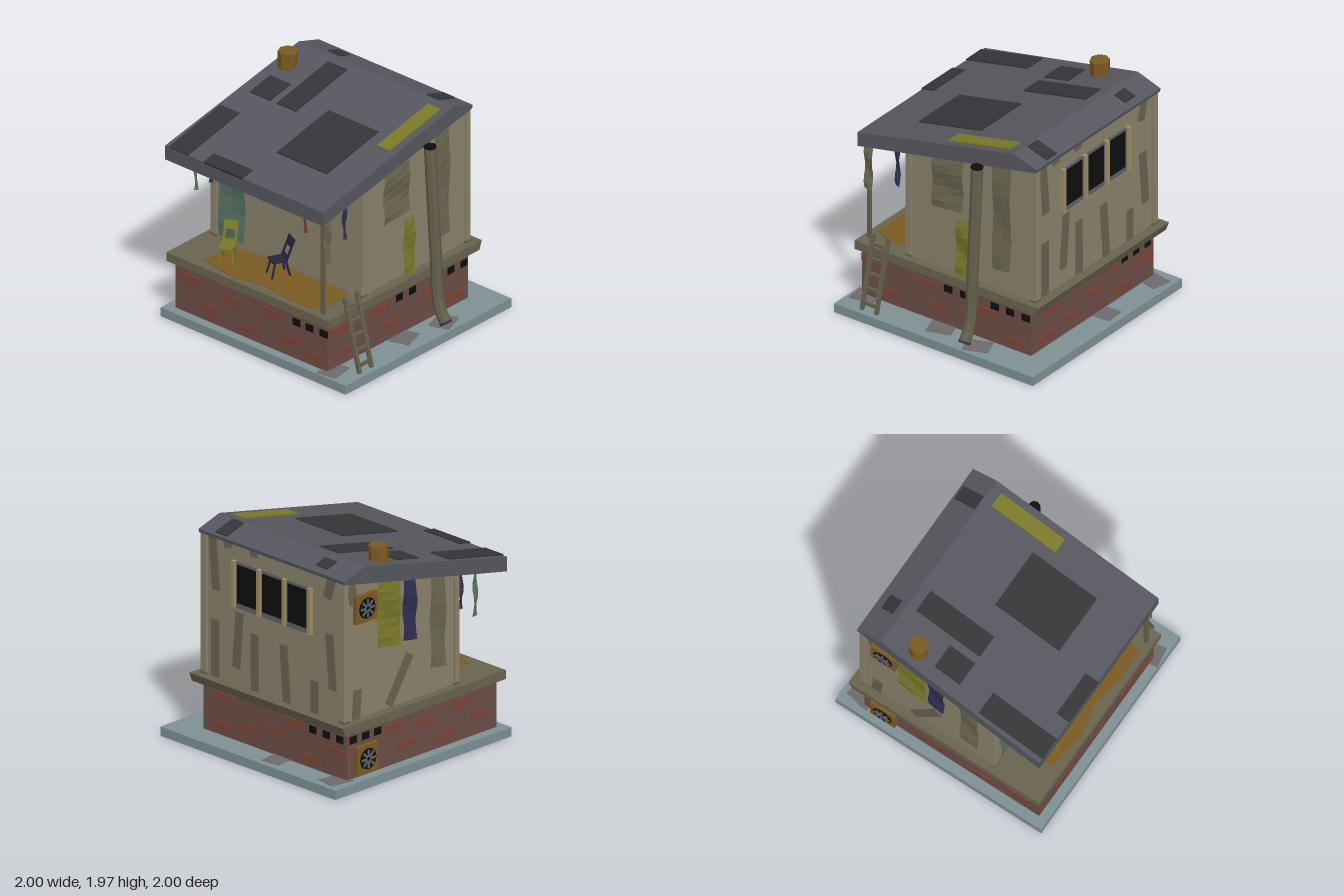
import * as THREE from 'three';

const C = {
  roof: 0x56575e, patch: 0x343538, wall: 0x89816a, post: 0x645f4c, deck: 0x69644e, brick: 0x6c4d46,
  redBrick: 0x7c4436, slab: 0x7d9095, black: 0x0e0e0e, plank: 0x6b6050, cloth: 0x6a664f, ochre: 0x7a5a24,
  yellow: 0x7a782a, blue: 0x2f2f52, green: 0x587062, teal: 0x2a8272, red: 0x6b3a30, trim: 0x9c8d63,
  frame: 0x5f6068, mud: 0x6b6a6c, chairBlue: 0x25253c,
};
const mats = {};
const mat = (c) => (mats[c] ??= new THREE.MeshStandardMaterial({ color: C[c], flatShading: true, side: THREE.DoubleSide }));

function add(parent, name, geo, color, x = 0, y = 0, z = 0) {
  const m = new THREE.Mesh(geo, mat(color));
  m.name = name;
  m.position.set(x, y, z);
  parent.add(m);
  return m;
}
const box = (p, name, color, x0, x1, y0, y1, z0, z1) =>
  add(p, name, new THREE.BoxGeometry(x1 - x0, y1 - y0, z1 - z0), color, (x0 + x1) / 2, (y0 + y1) / 2, (z0 + z1) / 2);

// Prism with an x-y outline running from z0 to z1
function prism(p, name, color, pts, z0, z1) {
  const shape = new THREE.Shape(pts.map(([x, y]) => new THREE.Vector2(x, y)));
  return add(p, name, new THREE.ExtrudeGeometry(shape, { depth: z1 - z0, bevelEnabled: false }).translate(0, 0, z0), color);
}

// Thin bar between two 3D points
function bar(p, name, color, a, b, w, d = w) {
  const A = new THREE.Vector3(...a), B = new THREE.Vector3(...b);
  const m = add(p, name, new THREE.BoxGeometry(w, A.distanceTo(B), d), color);
  m.position.copy(A).add(B).multiplyScalar(0.5);
  m.quaternion.setFromUnitVectors(new THREE.Vector3(0, 1, 0), B.sub(A).normalize());
  return m;
}

// Sheet hanging against a wall, with a slanted lower edge and a slight billow
function cloth(p, name, color, u0, u1, t0, t1, b0, b1, z = 0.02) {
  const g = new THREE.PlaneGeometry(1, 1, 2, 7), a = g.attributes.position;
  for (let i = 0; i < a.count; i++) {
    const s = a.getX(i) + 0.5, v = a.getY(i) + 0.5;
    const top = t0 + (t1 - t0) * s, bot = b0 + (b1 - b0) * s;
    a.setXYZ(i, u0 + (u1 - u0) * s, bot + (top - bot) * v, z + 0.012 * Math.sin(v * 9 + s * 2));
  }
  g.computeVertexNormals();
  return add(p, name, g, color);
}

// Group whose local z points out of one side of the building
function side(root, name, turn, dist) {
  const g = new THREE.Group();
  g.name = name;
  g.rotation.y = turn;
  g.position.set(Math.sin(turn) * dist, 0, Math.cos(turn) * dist);
  root.add(g);
  return g;
}

function addFan(p, x, y) {
  const g = new THREE.Group();
  g.name = 'wallFan';
  g.position.set(x, y, 0);
  p.add(g);
  box(g, 'fanCase', 'ochre', -0.12, 0.12, -0.12, 0.12, -0.01, 0.04);
  add(g, 'fanOpening', new THREE.CylinderGeometry(0.09, 0.09, 0.01, 12).rotateX(Math.PI / 2), 'black', 0, 0, 0.042);
  for (let i = 0; i < 8; i++) {
    const b = add(g, 'fanBlade', new THREE.BoxGeometry(0.02, 0.06, 0.006).translate(0, 0.048, 0), 'frame', 0, 0, 0.05);
    b.rotation.z = (i * Math.PI) / 4;
  }
}

// Chair facing local +z, feet on y = 0
function addChair(root, color, x, z, turn) {
  const g = new THREE.Group();
  g.name = 'chair';
  g.position.set(x, 0.578, z);
  g.rotation.y = turn;
  root.add(g);
  box(g, 'chairSeat', color, -0.06, 0.06, 0.135, 0.15, -0.06, 0.07);
  for (const s of [-1, 1]) {
    for (const f of [-1, 1]) bar(g, 'chairLeg', color, [s * 0.045, 0.14, f * 0.045], [s * 0.06, 0, f * 0.08], 0.014);
    bar(g, 'chairBackSide', color, [s * 0.05, 0.14, -0.05], [s * 0.05, 0.32, -0.12], 0.02, 0.012);
  }
  bar(g, 'chairBackTop', color, [0, 0.25, -0.093], [0, 0.32, -0.12], 0.1, 0.012);
  bar(g, 'chairBackLow', color, [0, 0.15, -0.054], [0, 0.18, -0.066], 0.1, 0.012);
}

export function createModel() {
  const root = new THREE.Group();
  root.name = 'shack';
  const H = Math.PI / 2;
  const under = (x) => 1.43 + 0.2 * (x + 0.97);

  // Ground, foundation and deck
  box(root, 'groundSlab', 'slab', -1, 1, 0, 0.08, -1, 1);
  box(root, 'foundation', 'brick', -0.92, 0.78, 0.08, 0.5, -0.91, 0.73);
  prism(root, 'deck', 'deck', [[-0.96, 0.5], [0.86, 0.5], [0.89, 0.578], [-0.96, 0.578]], -0.975, 0.78);
  for (const [x, z, r] of [[-0.07, 0.8, 0.3], [0.34, 0.86, 0.35], [-0.87, 0.75, 0.15], [0.83, -0.84, -0.2], [0.83, -0.18, 0.1]])
    add(root, 'mudPatch', new THREE.BoxGeometry(0.22, 0.006, 0.18), 'mud', x, 0.081, z).rotation.y = r;

  // House walls and corner posts
  prism(root, 'walls', 'wall', [[-0.47, 0.57], [0.8, 0.57], [0.8, under(0.8) + 0.02], [-0.47, under(-0.47) + 0.03]], -0.9, 0.7);
  for (const [x0, x1] of [[-0.49, -0.44], [0.77, 0.82]])
    for (const [z0, z1] of [[-0.92, -0.86], [0.66, 0.72]]) {
      box(root, 'cornerPost', 'wall', x0, x1, 0.575, under(x0) + 0.02, z0, z1);
      box(root, 'postFoot', 'post', x0 - 0.005, x1 + 0.005, 0.575, 0.595, z0 - 0.005, z1 + 0.005);
    }

  // Roof with a skewed rear edge
  const roof = prism(root, 'roof', 'roof', [[-0.97, 1.43], [0.83, 1.79], [0.835, 1.82], [0.6, 1.893], [-0.97, 1.555]], -0.93, 0.73);
  const rp = roof.geometry.attributes.position;
  for (let i = 0; i < rp.count; i++) if (rp.getZ(i) < 0) rp.setZ(i, -0.935 - 0.025 * (0.83 - rp.getX(i)));
  const ceiling = box(root, 'porchCeiling', 'teal', -0.24, 0.24, -0.004, 0.004, -0.9, 0.7);
  ceiling.position.set(-0.72, under(-0.72) - 0.005, -0.1);
  ceiling.rotation.z = Math.atan(0.2);

  // Roof patches: x0, x1, z0, z1
  for (const [x0, x1, z0, z1, c = 'patch'] of [
    [-0.97, -0.35, -0.935, -0.73], [-0.1, 0.145, -0.84, -0.62], [-0.1, 0.52, -0.55, -0.345], [0.66, 0.77, -0.68, -0.545],
    [-0.975, -0.85, -0.555, -0.14], [-0.58, 0.045, -0.12, 0.42], [0.615, 0.81, 0.43, 0.56], [-0.1, 0.52, 0.53, 0.665, 'yellow']]) {
    const x = (x0 + x1) / 2, slope = x < 0.6 ? 0.215 : -0.31, t = Math.atan(slope);
    const m = add(root, 'roofPatch', new THREE.BoxGeometry((x1 - x0) / Math.cos(t), 0.02, z1 - z0), c, x, 1.893 + slope * (x - 0.6), (z0 + z1) / 2);
    m.rotation.z = t;
  }
  const chimney = add(root, 'chimney', new THREE.CylinderGeometry(0.083, 0.08, 0.2, 8), 'ochre', 0.32, 1.87, -0.81);
  chimney.rotation.x = 0.04;

  // Loose bricks and vents on each foundation side: [u, v] centres
  const bases = [
    ['foundationFront', 0, 0.73, [[-0.78, 0.415], [-0.27, 0.393], [-0.15, 0.215], [0.335, 0.34], [0.615, 0.155], [-0.65, 0.187]],
      [-0.05, 0.107, 0.415, 0.57, 0.727]],
    ['foundationRight', H, 0.78, [[-0.48, 0.415], [-0.52, 0.16], [-0.18, 0.213], [0.1, 0.293], [0.328, 0.415], [0.8, 0.293], [0.51, 0.155]],
      [0.523, 0.678, 0.833]],
    ['foundationBack', Math.PI, 0.91, [[-0.25, 0.4], [-0.1, 0.22], [0.12, 0.36], [0.35, 0.17], [0.5, 0.4], [0.72, 0.25]],
      [-0.71, -0.57, -0.43]],
    ['foundationLeft', -H, 0.92, [[-0.75, 0.4], [-0.55, 0.2], [-0.3, 0.36], [-0.08, 0.17], [0.15, 0.4], [0.35, 0.23], [0.6, 0.16]],
      [0.4, 0.54, 0.69]],
  ];
  for (const [name, turn, dist, bricks, vents] of bases) {
    const g = side(root, name, turn, dist);
    for (const [u, v] of bricks) box(g, 'looseBrick', 'redBrick', u - 0.098, u + 0.098, v - 0.034, v + 0.034, -0.01, 0.008);
    for (const u of vents) box(g, 'vent', 'black', u - 0.04, u + 0.04, 0.385, 0.447, -0.01, 0.006);
    if (turn === Math.PI) addFan(g, -0.58, 0.23);
  }

  // Right wall: planks and a three-pane window
  const right = side(root, 'rightWallDetails', H, 0.8);
  for (const [a, b, c, d] of [[-0.6, 1.78, -0.56, 1.33], [-0.43, 1.79, -0.42, 1.73], [-0.13, 1.79, -0.125, 1.73], [0.76, 1.79, 0.71, 1.61],
    [-0.57, 1.07, -0.57, 0.575], [-0.29, 1.21, -0.33, 0.72], [-0.12, 1.07, -0.115, 0.575], [0.21, 1.07, 0.25, 0.575],
    [0.565, 0.86, 0.565, 0.575], [0.735, 1.31, 0.775, 0.83]])
    bar(right, 'wallPlank', 'plank', [a, b, 0], [c, d, 0], 0.088, 0.016);
  for (let i = 0; i < 3; i++) {
    const u = -0.2 + i * 0.29;
    box(right, 'windowFrame', 'frame', u - 0.13, u + 0.13, 1.245, 1.645, -0.01, 0.012);
    box(right, 'windowPane', 'black', u - 0.11, u + 0.11, 1.29, 1.622, -0.01, 0.017);
  }
  for (let i = 0; i < 4; i++) box(right, 'windowPost', 'trim', -0.36 + i * 0.289, -0.325 + i * 0.289, 1.25, 1.65, -0.01, 0.035);

  // Front wall: hanging sheets
  const front = side(root, 'frontWallDetails', 0, 0.7);
  cloth(front, 'wallSheet', 'cloth', -0.225, 0.085, 1.58, 1.64, 1.13, 1.165);
  cloth(front, 'wallSheet', 'cloth', 0.385, 0.565, 1.7, 1.735, 0.755, 0.775);
  cloth(front, 'doorSheet', 'yellow', 0.015, 0.15, 1.075, 1.085, 0.58, 0.58);

  // Back wall: fan, sheets and planks
  const back = side(root, 'backWallDetails', Math.PI, 0.9);
  addFan(back, -0.58, 1.53);
  cloth(back, 'wallSheet', 'yellow', -0.445, -0.18, 1.7, 1.65, 1.14, 1.1);
  cloth(back, 'wallSheet', 'blue', -0.15, 0, 1.64, 1.61, 1.12, 1.1);
  cloth(back, 'wallSheet', 'cloth', 0.16, 0.33, 1.57, 1.54, 0.8, 0.78);
  for (const [a, b, c, d] of [[-0.06, 0.98, -0.3, 0.6], [-0.65, 0.83, -0.67, 0.58], [-0.73, 1.76, -0.69, 1.58]])
    bar(back, 'wallPlank', 'plank', [a, b, 0], [c, d, 0], 0.088, 0.016);

  // Porch: wall curtains, post, hanging strips and floor mat
  const left = side(root, 'porchWallDetails', -H, 0.47);
  cloth(left, 'porchCurtain', 'green', -0.83, -0.55, 1.5, 1.5, 0.6, 0.62);
  cloth(left, 'porchCurtain', 'ochre', -0.2, 0.0, 1.5, 1.5, 1.1, 1.1);
  box(root, 'porchPost', 'post', -0.91, -0.88, 0.575, 1.47, 0.65, 0.68);
  const strips = [[-0.92, -0.84, 1.05, 0.7, 'cloth'], [-0.73, -0.685, 1.09, -0.88, 'green'], [-0.645, -0.6, 1.15, -0.8, 'blue'],
    [-0.55, -0.505, 1.15, -0.7, 'green'], [-0.645, -0.6, 1.15, 0.65, 'blue'], [-0.73, -0.685, 1.12, 0.3, 'red']];
  for (const [x0, x1, y, z, c] of strips) cloth(root, 'hangingStrip', c, x0, x1, under(x0), under(x1), y, y - 0.01, z);
  const mat2 = [[-0.9, 0.55], [-0.72, 0.62], [-0.5, 0.58], [-0.5, -0.5], [-0.6, -0.62], [-0.86, -0.66], [-0.92, -0.3], [-0.85, 0.0], [-0.9, 0.25]];
  const matShape = new THREE.Shape(mat2.map(([x, z]) => new THREE.Vector2(x, -z)));
  add(root, 'floorMat', new THREE.ExtrudeGeometry(matShape, { depth: 0.006, bevelEnabled: false }).rotateX(-H), 'ochre', 0, 0.577, 0);
  addChair(root, 'yellow', -0.75, -0.5, -H + 0.45);
  addChair(root, 'chairBlue', -0.64, -0.05, -H - 0.45);

  // Ladder leaning on the deck
  for (const x of [-0.765, -0.62]) bar(root, 'ladderRail', 'post', [x, 0.08, 0.94], [x, 0.71, 0.78], 0.03);
  for (let i = 0; i < 5; i++) {
    const y = 0.14 + i * 0.122, z = 0.94 - ((y - 0.08) / 0.63) * 0.16;
    box(root, 'ladderRung', 'post', -0.765, -0.62, y - 0.013, y + 0.013, z - 0.012, z + 0.012);
  }

  // Drain pipe with a bent foot
  const path = new THREE.CatmullRomCurve3([[1.68, 0.775], [1.2, 0.805], [0.7, 0.838], [0.3, 0.863], [0.2, 0.9], [0.13, 0.945]]
    .map(([y, z]) => new THREE.Vector3(0.27, y, z)));
  add(root, 'drainPipe', new THREE.TubeGeometry(path, 16, 0.05, 8), 'post');
  for (const [t, c] of [[0, 'black'], [1, 'patch']]) {
    const p = path.getPoint(t), end = add(root, 'pipeEnd', new THREE.CylinderGeometry(0.052, 0.052, 0.02, 8), c, p.x, p.y, p.z);
    end.quaternion.setFromUnitVectors(new THREE.Vector3(0, 1, 0), path.getTangent(t));
  }
  return root;
}
